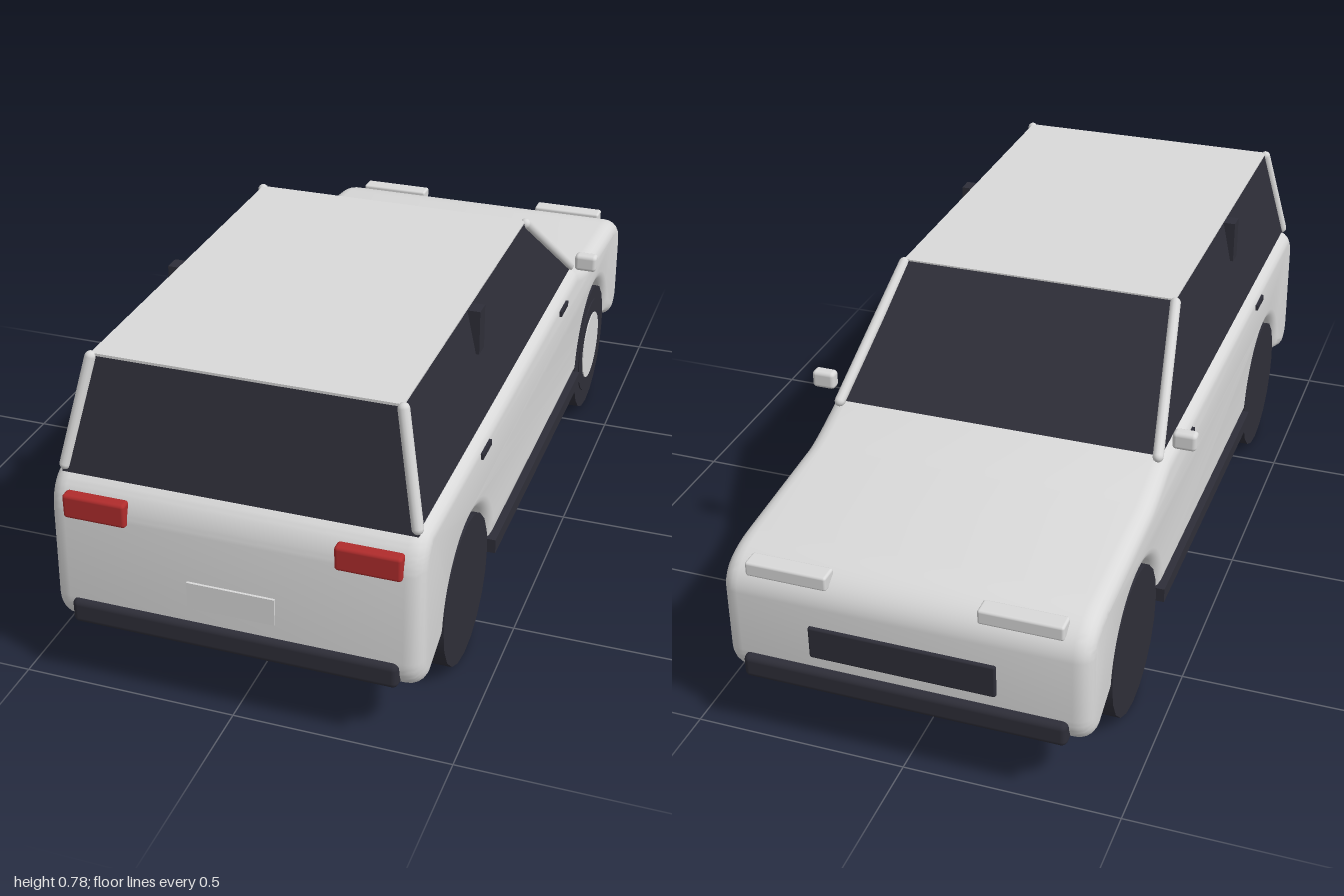
import * as THREE from 'three';
import { toCreasedNormals } from 'three/addons/utils/BufferGeometryUtils.js';
import { RoundedBoxGeometry } from 'three/addons/geometries/RoundedBoxGeometry.js';

const mat = (name, color, side = THREE.FrontSide) =>
  Object.assign(new THREE.MeshStandardMaterial({ color, side }), { name });

export function createModel() {
  const paint = mat('body paint', 0xd9d9d9);
  const dark = mat('dark glass and rubber', 0x2e2e38);
  const red = mat('tail light red', 0xb02c2c);
  const car = new THREE.Group();
  car.name = 'car';

  const add = (name, geo, material, x = 0, y = 0, z = 0) => {
    const m = new THREE.Mesh(geo, material);
    m.name = name;
    m.position.set(x, y, z);
    car.add(m);
    return m;
  };
  const box = (name, material, size, pos, r = 0) =>
    add(name, r ? new RoundedBoxGeometry(...size, 3, r) : new THREE.BoxGeometry(...size), material, ...pos);

  // Body: side profile with wheel arches, drawn nose to the right, bevelled at the flanks
  const s = new THREE.Shape();
  s.moveTo(-0.92, 0.178);
  s.lineTo(-0.838, 0.21);
  s.absarc(-0.625, 0.175, 0.215, Math.PI - 0.17, 0.21, true);
  s.absarc(0.625, 0.175, 0.215, Math.PI - 0.21, 0.17, true);
  s.lineTo(0.91, 0.178);
  s.quadraticCurveTo(0.945, 0.175, 0.945, 0.215);
  s.lineTo(0.945, 0.365);
  s.quadraticCurveTo(0.94, 0.412, 0.85, 0.42);
  s.lineTo(0.53, 0.443);
  s.quadraticCurveTo(0.48, 0.45, 0.38, 0.487);
  s.lineTo(-0.905, 0.487);
  s.quadraticCurveTo(-0.935, 0.475, -0.942, 0.43);
  s.lineTo(-0.95, 0.22);
  s.quadraticCurveTo(-0.95, 0.178, -0.92, 0.178);
  const bodyGeo = new THREE.ExtrudeGeometry(s, {
    depth: 0.764, bevelThickness: 0.04, bevelSize: 0.035, bevelSegments: 5, curveSegments: 16,
  });
  bodyGeo.translate(0, 0, -0.382).rotateY(Math.PI / 2);
  add('body', toCreasedNormals(bodyGeo, 0.6), paint);

  // Cabin glass: a box tapered towards the roof
  const glass = new THREE.BoxGeometry(2, 1, 2);
  const p = glass.attributes.position;
  for (let i = 0; i < p.count; i++) {
    const top = p.getY(i) > 0, rear = p.getZ(i) > 0;
    p.setXYZ(i, Math.sign(p.getX(i)) * (top ? 0.345 : 0.4), top ? 0.768 : 0.51,
      rear ? (top ? 0.872 : 0.938) : (top ? -0.093 : -0.4));
  }
  add('cabinGlass', toCreasedNormals(glass, 0.1), dark);
  box('roof', paint, [0.69, 0.006, 0.965], [0, 0.769, 0.39]);

  // Round pillars between two points
  const pillar = (name, a, b) => {
    const dir = b.clone().sub(a);
    const m = add(name, new THREE.CapsuleGeometry(0.013, dir.length(), 4, 12), paint);
    m.position.copy(a).add(b).multiplyScalar(0.5);
    m.quaternion.setFromUnitVectors(new THREE.Vector3(0, 1, 0), dir.normalize());
  };

  for (const k of [1, -1]) {
    const side = k > 0 ? 'left' : 'right';
    const v = (x, y, z) => new THREE.Vector3(k * x, y, z);
    pillar(side + 'FrontPillar', v(0.395, 0.525, -0.395), v(0.345, 0.763, -0.093));
    pillar(side + 'RearPillar', v(0.395, 0.525, 0.93), v(0.345, 0.763, 0.872));
    box(side + 'WindowPost', dark, [0.03, 0.105, 0.04], [k * 0.36, 0.715, 0.4]);
    box(side + 'Mirror', paint, [0.057, 0.044, 0.032], [k * 0.448, 0.559, -0.358], 0.01);
    box(side + 'Sill', dark, [0.04, 0.036, 0.87], [k * 0.412, 0.172, 0]);
    for (const z of [-0.22, 0.52])
      box(side + 'DoorHandle', dark, [0.02, 0.014, 0.07], [k * 0.418, 0.484, z]);
    box(side + 'TailLight', red, [0.146, 0.058, 0.03], [k * 0.307, 0.454, 0.973], 0.008);
    box(side + 'Headlight', paint, [0.19, 0.035, 0.045], [k * 0.266, 0.43, -0.95], 0.006);

    // Wheels
    for (const z of [-0.625, 0.625])
      add(side + (z < 0 ? 'Front' : 'Rear') + 'Wheel',
        new THREE.CylinderGeometry(0.175, 0.175, 0.137, 20).rotateZ(Math.PI / 2), dark, k * 0.3475, 0.175, z);
  }

  // Rim and hub, fitted to one front wheel only
  const disc = (name, r, w, x, material) =>
    add(name, new THREE.CylinderGeometry(r, r, w, 24).rotateZ(Math.PI / 2), material, x, 0.182, -0.622);
  disc('rim', 0.132, 0.02, 0.409, dark);
  disc('hub', 0.094, 0.02, 0.412, paint);

  // Bumpers, grille and rear plate
  box('rearBumper', dark, [0.75, 0.06, 0.04], [0, 0.19, 0.978], 0.014);
  box('frontBumper', dark, [0.75, 0.058, 0.04], [0, 0.183, -0.978], 0.014);
  box('grille', dark, [0.43, 0.08, 0.03], [0, 0.28, -0.973], 0.005);
  box('rearPlate', paint, [0.2, 0.065, 0.008], [0, 0.287, 0.983]);

  return car;
}
